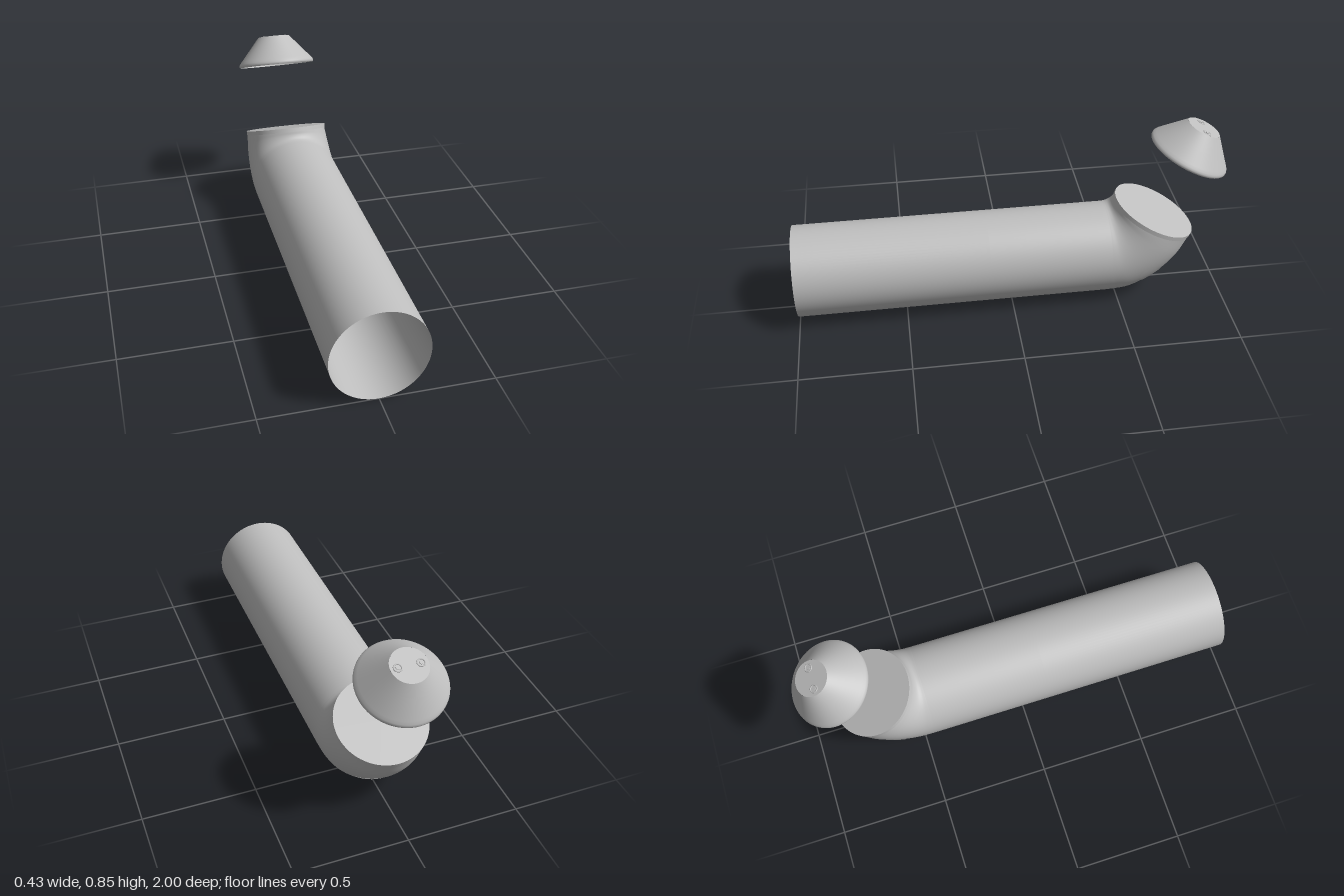
import * as THREE from 'three';
import { ParametricGeometry } from 'three/addons/geometries/ParametricGeometry.js';

const TILT = 0.43; // the mouth leans back by this angle
const R = 0.2125; // pipe radius, also the height of its axis
const FRONT = 0.11; // where the elbow piece meets the straight pipe
const BEND = -0.45; // where the bend starts

// curve in the middle plane from [z, y] pairs
const sideCurve = (pts) =>
  new THREE.CatmullRomCurve3(pts.map(([z, y]) => new THREE.Vector3(0, y, z)));

const heel = sideCurve([
  [BEND, 0], [-0.56, 0.012], [-0.655, 0.056], [-0.74, 0.12], [-0.81, 0.2], [-0.859, 0.293],
]);
const throat = sideCurve([
  [BEND, 0.425], [-0.462, 0.426], [-0.472, 0.429], [-0.481, 0.436], [-0.489, 0.447], [-0.495, 0.461],
]);

// point on the elbow: t runs along the bend, angle runs round from the heel
function elbowPoint(t, angle, offset, target) {
  const s = THREE.MathUtils.clamp(t, 0, 1);
  const low = heel.getPoint(s);
  const centre = throat.getPoint(s).add(low).multiplyScalar(0.5);
  const arm = low.sub(centre);
  const radius = arm.length();
  const halfWidth = R + (0.2 - R) * s ** 3;
  target.copy(centre).addScaledVector(arm, (Math.cos(angle) * (radius + offset)) / radius);
  target.x += Math.sin(angle) * (halfWidth + offset);
  return target;
}

export function createModel() {
  const model = new THREE.Group();
  model.name = 'pipeWithCap';
  const grey = new THREE.MeshStandardMaterial({ color: 0xbfbfbf, side: THREE.DoubleSide });
  grey.name = 'grey';

  const add = (parent, name, geometry, x = 0, y = 0, z = 0) => {
    const mesh = new THREE.Mesh(geometry, grey);
    mesh.name = name;
    mesh.position.set(x, y, z);
    parent.add(mesh);
    return mesh;
  };
  const tiltedGroup = (name, x, y, z) => {
    const group = new THREE.Group();
    group.name = name;
    group.position.set(x, y, z);
    group.rotation.x = -TILT;
    model.add(group);
    return group;
  };

  // straight open pipe
  const length = 1 - FRONT;
  const pipe = add(model, 'straightPipe',
    new THREE.CylinderGeometry(R, R, length, 96, 1, true), 0, R, FRONT + length / 2);
  pipe.rotation.x = Math.PI / 2;

  // elbow piece: short straight run, then the bend
  add(model, 'elbow', new ParametricGeometry((u, v, target) => {
    const t = u * 1.25 - 0.25;
    elbowPoint(t, v * Math.PI * 2, 0, target);
    if (t < 0) target.z += (-t / 0.25) * (FRONT - BEND);
  }, 50, 96));

  // round-ended strip wrapped over the heel of the bend
  const reach = THREE.MathUtils.degToRad(72);
  const roundEnd = THREE.MathUtils.degToRad(11);
  add(model, 'heelStrip', new ParametricGeometry((u, v, target) => {
    const angle = -Math.cos(v * Math.PI) * reach;
    const k = Math.max(0, (Math.abs(angle) - reach + roundEnd) / roundEnd);
    const half = 0.105 * Math.sqrt(Math.max(0.0004, 1 - k * k));
    elbowPoint(0.465 + (u * 2 - 1) * half, angle, 0.002, target);
  }, 8, 64));

  // closed collar on the mouth
  const mouth = tiltedGroup('mouth', 0, 0.395, -0.685);
  add(mouth, 'collar', new THREE.CylinderGeometry(0.203, 0.203, 0.02, 96, 1, true), 0, -0.01, 0);
  const lid = add(mouth, 'lid', new THREE.CircleGeometry(0.203, 96));
  lid.rotation.x = -Math.PI / 2;
  const lip = add(mouth, 'collarLip', new THREE.RingGeometry(0.198, 0.203, 96), 0, -0.02, 0);
  lip.rotation.x = Math.PI / 2;

  // hollow conical cap floating above the mouth
  const cap = tiltedGroup('cap', -0.012, 0.688, -0.825);
  const profile = [
    [0.188, 0], [0.191, 0.004], [0.191, 0.011], [0.187, 0.019],
    [0.178, 0.03], [0.13, 0.086], [0.079, 0.146],
  ].map(([r, y]) => new THREE.Vector2(r, y));
  add(cap, 'capShell', new THREE.LatheGeometry(profile, 96));
  const top = add(cap, 'capTop', new THREE.CircleGeometry(0.079, 64), 0, 0.146, 0);
  top.rotation.x = -Math.PI / 2;

  // two small ringed studs on the cap top
  for (const side of [-1, 1]) {
    const ring = add(cap, 'studRing', new THREE.TorusGeometry(0.016, 0.003, 8, 32), side * 0.048, 0.146, 0);
    ring.rotation.x = Math.PI / 2;
    add(cap, 'stud', new THREE.CylinderGeometry(0.008, 0.008, 0.004, 24), side * 0.048, 0.147, 0);
  }
  return model;
}
